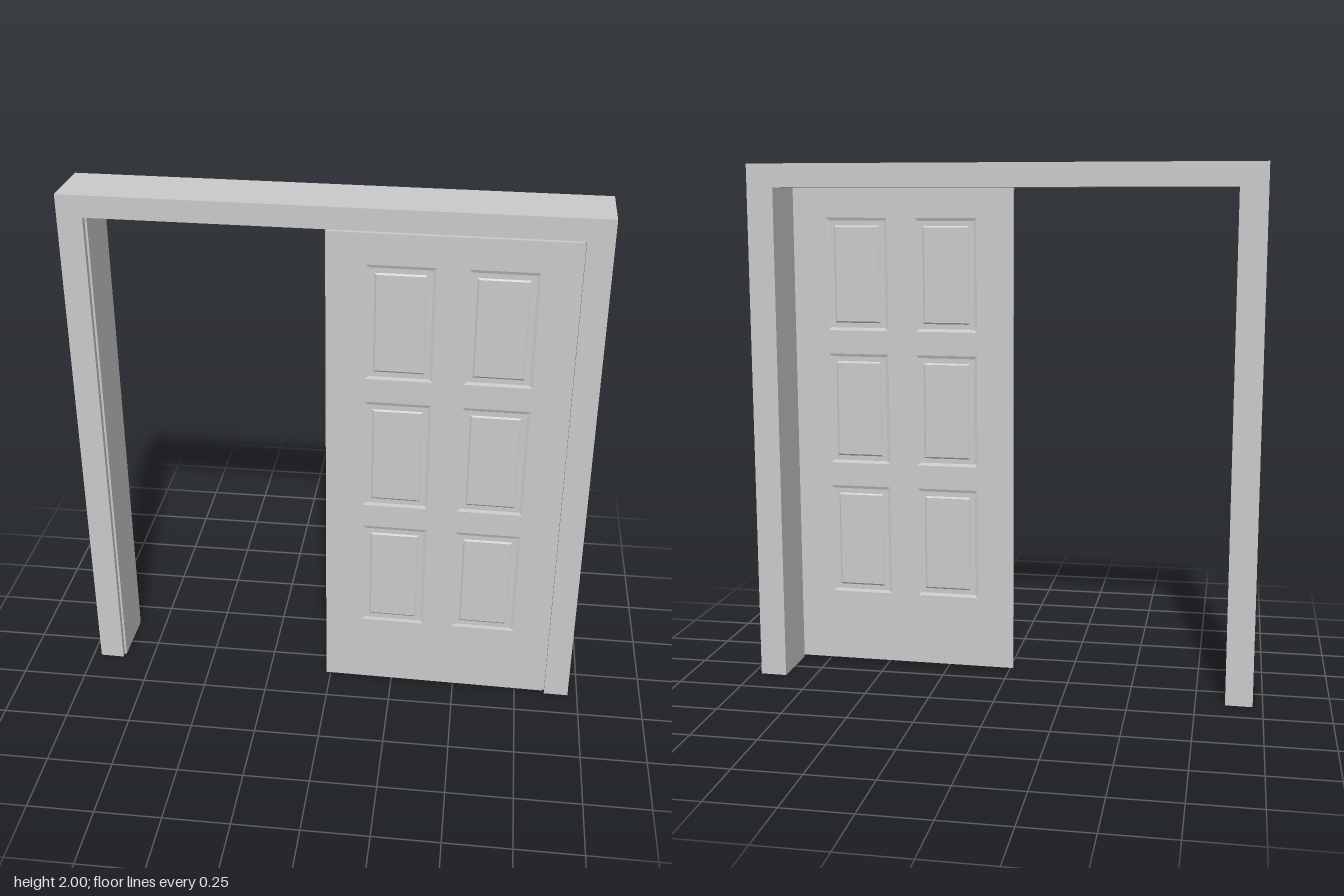
import * as THREE from 'three';

const HALF_W = 0.965, HEIGHT = 2, HALF_D = 0.1225, REBATE = 0.022;
const material = new THREE.MeshStandardMaterial({ color: 0xcccccc, flatShading: true });

// Upside-down U outline: two jambs joined by the lintel
function frameLayer(name, innerX, innerY, z, depth) {
  const pts = [
    [-HALF_W, 0], [-innerX, 0], [-innerX, innerY], [innerX, innerY],
    [innerX, 0], [HALF_W, 0], [HALF_W, HEIGHT], [-HALF_W, HEIGHT],
  ].map(([x, y]) => new THREE.Vector2(x, y));
  const geo = new THREE.ExtrudeGeometry(new THREE.Shape(pts), { depth, bevelEnabled: false });
  const mesh = new THREE.Mesh(geo.translate(0, 0, z), material);
  mesh.name = name;
  return mesh;
}

// Corners of a rectangle, counter-clockwise, pulled in by inset
function corners([x0, y0, x1, y1], inset = 0) {
  const a = x0 + inset, b = y0 + inset, c = x1 - inset, d = y1 - inset;
  return [[a, b], [c, b], [c, d], [a, d]];
}

// Skin between successive rectangular loops [inset, z], optionally closed by a flat field
function loftRect(rect, steps, capped) {
  const pos = [];
  const loops = steps.map(([inset, z]) => corners(rect, inset).map(([x, y]) => [x, y, z]));
  const quad = (a, b, c, d) => pos.push(...a, ...b, ...c, ...a, ...c, ...d);
  for (let k = 0; k + 1 < loops.length; k++) {
    for (let i = 0; i < 4; i++) {
      const j = (i + 1) % 4;
      quad(loops[k][i], loops[k][j], loops[k + 1][j], loops[k + 1][i]);
    }
  }
  if (capped) quad(...loops[loops.length - 1]);
  const geo = new THREE.BufferGeometry();
  geo.setAttribute('position', new THREE.Float32BufferAttribute(pos, 3));
  geo.computeVertexNormals();
  return geo;
}

const toPoints = (list) => list.map(([x, y]) => new THREE.Vector2(x, y));

// One moulded face of the door, facing +z around its own centre
function doorFace(name, w, h, panels, z) {
  const face = new THREE.Group();
  face.name = name;
  const shape = new THREE.Shape(toPoints(corners([-w / 2, 0, w / 2, h])));
  for (const p of panels) shape.holes.push(new THREE.Path(toPoints(corners(p))));
  const sheet = new THREE.Mesh(new THREE.ShapeGeometry(shape), material);
  sheet.name = 'doorSurface';
  sheet.position.z = z;
  face.add(sheet);
  // Sunken border around a raised field
  for (const p of panels) {
    const geo = loftRect(p, [[0, z], [0.011, z - 0.004], [0.03, z - 0.004], [0.036, z]], true);
    const panel = new THREE.Mesh(geo, material);
    panel.name = 'doorPanel';
    face.add(panel);
  }
  return face;
}

function buildDoor() {
  const x0 = -0.014, x1 = 0.863, y0 = 0.01, y1 = 1.912, thick = 0.018;
  const w = x1 - x0, h = y1 - y0, cx = (x0 + x1) / 2;
  const panels = [];
  for (const left of [0.129, 0.485]) {
    for (const bottom of [0.293, 0.826, 1.358]) {
      panels.push([left - cx, bottom - y0, left - cx + 0.244, bottom - y0 + 0.439]);
    }
  }
  const mirrored = panels.map(([a, b, c, d]) => [-c, b, -a, d]);

  const door = new THREE.Group();
  door.name = 'door';
  door.position.set(cx, y0, HALF_D - 0.004 - thick / 2);
  const front = doorFace('doorFront', w, h, panels, thick / 2);
  const back = doorFace('doorBack', w, h, mirrored, thick / 2);
  back.rotation.y = Math.PI;
  const edge = new THREE.Mesh(
    loftRect([-w / 2, 0, w / 2, h], [[0, -thick / 2], [0, thick / 2]], false), material);
  edge.name = 'doorEdge';
  door.add(front, back, edge);
  return door;
}

export function createModel() {
  const model = new THREE.Group();
  model.name = 'doorway';

  // Frame with a shallow rebate along its front inner edge
  const frame = new THREE.Group();
  frame.name = 'frame';
  frame.add(
    frameLayer('frameBody', 0.863, 1.912, -HALF_D, 2 * HALF_D - REBATE),
    frameLayer('frameFrontLip', 0.871, 1.919, HALF_D - REBATE, REBATE),
  );

  // The whole doorway stands very slightly turned
  const turned = new THREE.Group();
  turned.name = 'turnedDoorway';
  turned.rotation.y = -0.0165;
  turned.add(frame, buildDoor());
  model.add(turned);
  return model;
}
